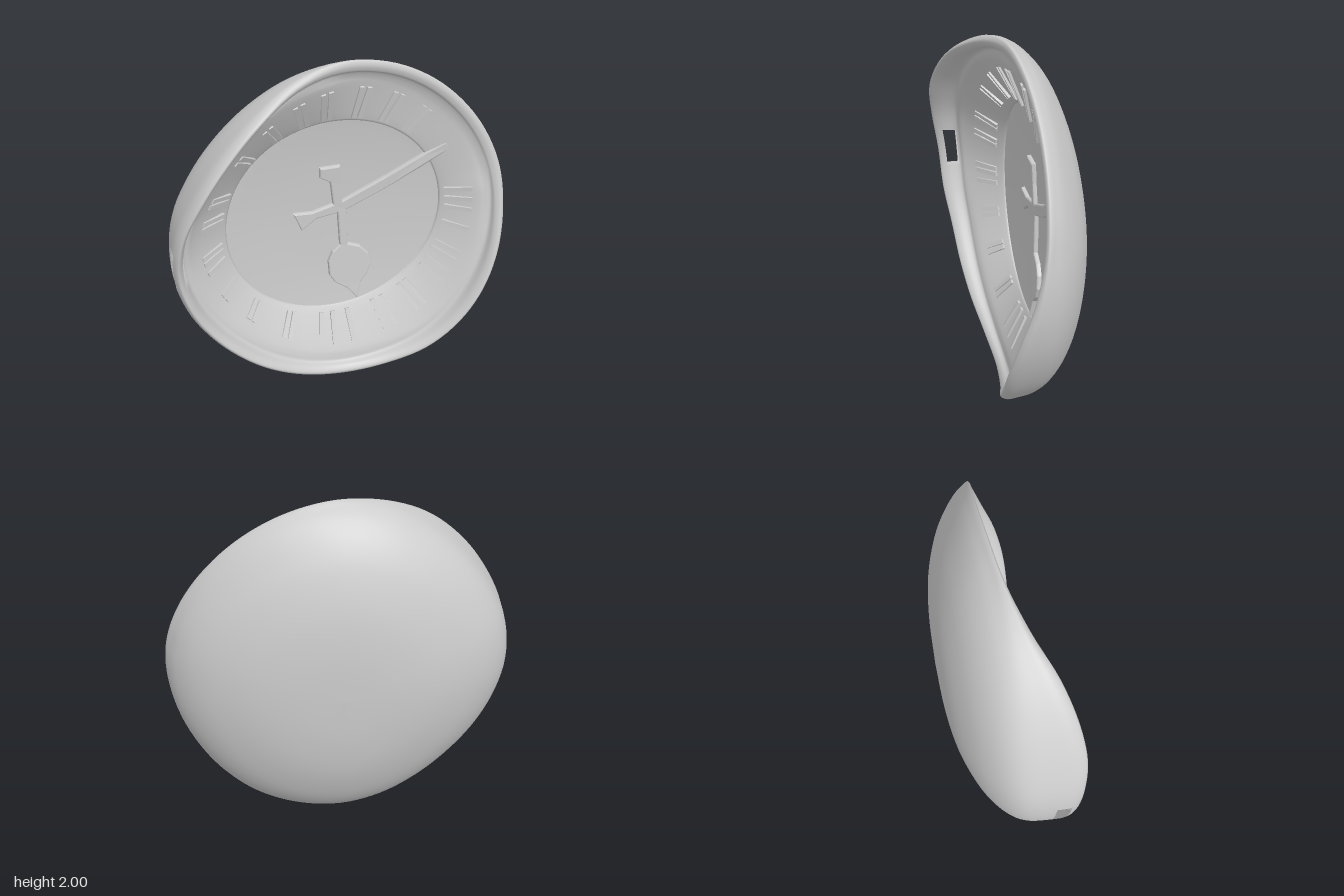
import * as THREE from 'three';

const material = new THREE.MeshStandardMaterial({ color: 0xcccccc, side: THREE.DoubleSide });
const V = (x, y, z = 0) => new THREE.Vector3(x, y, z);

// Outline radius and rim depth every 15 degrees, counter-clockwise from +x
const outline = [0.938, 0.945, 0.948, 0.955, 0.97, 0.987, 0.998, 0.985, 0.96, 0.942, 0.94, 0.951,
  0.945, 0.922, 0.905, 0.903, 0.925, 0.963, 0.993, 0.997, 0.988, 0.965, 0.945, 0.937];
const rimDepth = [0.1, 0.05, 0.025, 0.012, 0.012, 0.025, 0.055, 0.13, 0.235, 0.3, 0.325, 0.3,
  0.265, 0.25, 0.22, 0.2, 0.17, 0.13, 0.11, 0.135, 0.185, 0.21, 0.205, 0.165];
const warp = new THREE.CatmullRomCurve3(outline.map((r, i) => V(r, rimDepth[i])), true, 'catmullrom', 0.5);
const warpAt = (angle) => {
  const t = angle / (2 * Math.PI);
  const p = warp.getPoint(t - Math.floor(t));
  return { radius: p.x, rim: p.y };
};

const DIAL_RADIUS = 0.6;
const ringOuterZ = (rim) => Math.min(0.3 * rim, rim - 0.05);
const dialZ = (x, y) => -0.125 + 0.11 * (x * x + (y - 1) ** 2);

// Cross-section from the back centre, round the rim, to the dial centre
function section(radius, rim) {
  const base = Math.min(0, rim - 0.05);
  const wall = (f) => base + (rim - base) * f;
  const ringZ = ringOuterZ(rim);
  const dial = DIAL_RADIUS / radius;
  return new THREE.CatmullRomCurve3([
    V(0, -0.32), V(0.28, -0.31), V(0.52, -0.275), V(0.72, -0.21), V(0.85, -0.14), V(0.94, base * 0.5 - 0.06),
    V(0.985, wall(0.1)), V(1, wall(0.56)), V(1, wall(0.84)),
    V(0.975, rim), V(0.945, wall(0.84)), V(0.93, wall(0.56)), V(0.895, ringZ + (rim - ringZ) * 0.25),
    V(0.84, ringZ), V(dial + 0.02, -0.07), V(dial, -0.085), V(0.35, -0.112), V(0, -0.125),
  ], false, 'catmullrom', 0.5);
}

// Warped shell, with a gap worn through the wall on the -x side
function buildShell() {
  const segments = 120, intervals = 17, steps = 4, rows = intervals * steps;
  const positions = [], index = [];
  for (let j = 0; j < segments; j++) {
    const angle = (j / segments) * 2 * Math.PI;
    const { radius, rim } = warpAt(angle);
    const curve = section(radius, rim);
    for (let i = 0; i <= rows; i++) {
      const p = curve.getPoint(i / rows);
      positions.push(Math.cos(angle) * p.x * radius, 1 + Math.sin(angle) * p.x * radius, p.y);
    }
  }
  for (let j = 0; j < segments; j++) {
    for (let i = 0; i < rows; i++) {
      const interval = Math.floor(i / steps);
      const inGap = j >= 57 && j < 62 && (interval === 7 || interval === 10);
      if (inGap) continue;
      const a = j * (rows + 1) + i, b = ((j + 1) % segments) * (rows + 1) + i;
      index.push(a, b, a + 1, b, b + 1, a + 1);
    }
  }
  const geometry = new THREE.BufferGeometry();
  geometry.setAttribute('position', new THREE.Float32BufferAttribute(positions, 3));
  geometry.setIndex(index);
  geometry.computeVertexNormals();
  return geometry;
}

// Flat outline raised a little above the dial and following its curve
function raised(points, height = 0.015) {
  const shape = new THREE.Shape(points.map(([x, y]) => new THREE.Vector2(x, y)));
  const geometry = new THREE.ExtrudeGeometry(shape, {
    depth: height, bevelEnabled: true, bevelSize: 0.008, bevelThickness: 0.01, bevelSegments: 2,
  });
  const pos = geometry.attributes.position;
  for (let i = 0; i < pos.count; i++) pos.setZ(i, pos.getZ(i) + dialZ(pos.getX(i), pos.getY(i)));
  geometry.computeVertexNormals();
  return geometry;
}

export function createModel() {
  const group = new THREE.Group();
  const add = (name, geometry, parent = group) => {
    const mesh = new THREE.Mesh(geometry, material);
    mesh.name = name;
    parent.add(mesh);
    return mesh;
  };

  add('warpedShell', buildShell());

  // Hour bars on the sloping ring
  const marks = new THREE.Group();
  marks.name = 'hourMarks';
  group.add(marks);
  const markAngles = [-11, -2, 3, 8, 50, 53, 64, 67, 78, 81, 93, 96, 104, 107, 118, 121, 134, 137,
    155, 158, 166, 169, 183, 186, 191, 205, 208, 223, 226, 244, 247, 262, 268, 276, 290, 295, 306, 310,
    322, 327, 333, 337];
  for (const degrees of markAngles) {
    const angle = THREE.MathUtils.degToRad(degrees);
    const { radius, rim } = warpAt(angle);
    const inner = DIAL_RADIUS + 0.03, outer = 0.84 * radius;
    const rise = ringOuterZ(rim) + 0.07;
    const bar = new THREE.Group();
    bar.position.set(0, 1, 0);
    bar.rotation.z = angle;
    const mesh = add('hourMark', new THREE.BoxGeometry(outer - inner, 0.026, 0.03), bar);
    mesh.position.set((inner + outer) / 2, 0, -0.07 + rise / 2);
    mesh.rotation.y = -Math.atan2(rise, 0.84 * radius - DIAL_RADIUS);
    marks.add(bar);
  }

  // Hands
  const hands = new THREE.Group();
  hands.name = 'hands';
  group.add(hands);
  add('longHand', raised([[0.02, 1.06], [0.05, 1.02], [0.3, 1.14], [0.5, 1.26], [0.64, 1.36], [0.62, 1.39],
    [0.5, 1.32], [0.3, 1.2], [0.08, 1.09]]), hands);
  add('longHandTail', raised([[0.05, 1.02], [0.03, 1.07], [-0.12, 1.03], [-0.22, 1.04], [-0.18, 0.94],
    [-0.1, 1.0]]), hands);
  add('shortHandTail', raised([[0.01, 1.04], [0.05, 1.04], [0.03, 1.2], [0.03, 1.31], [-0.07, 1.31],
    [-0.07, 1.26], [-0.01, 1.22]]), hands);
  add('shortHand', raised([[0.03, 1.05], [0.045, 0.79], [0.0, 0.75], [-0.025, 0.69], [-0.02, 0.6], [0.01, 0.55],
    [0.08, 0.5], [0.13, 0.43], [0.15, 0.53], [0.19, 0.58], [0.21, 0.64], [0.195, 0.71], [0.15, 0.76],
    [0.075, 0.79], [0.07, 1.05]]), hands);

  return group;
}
